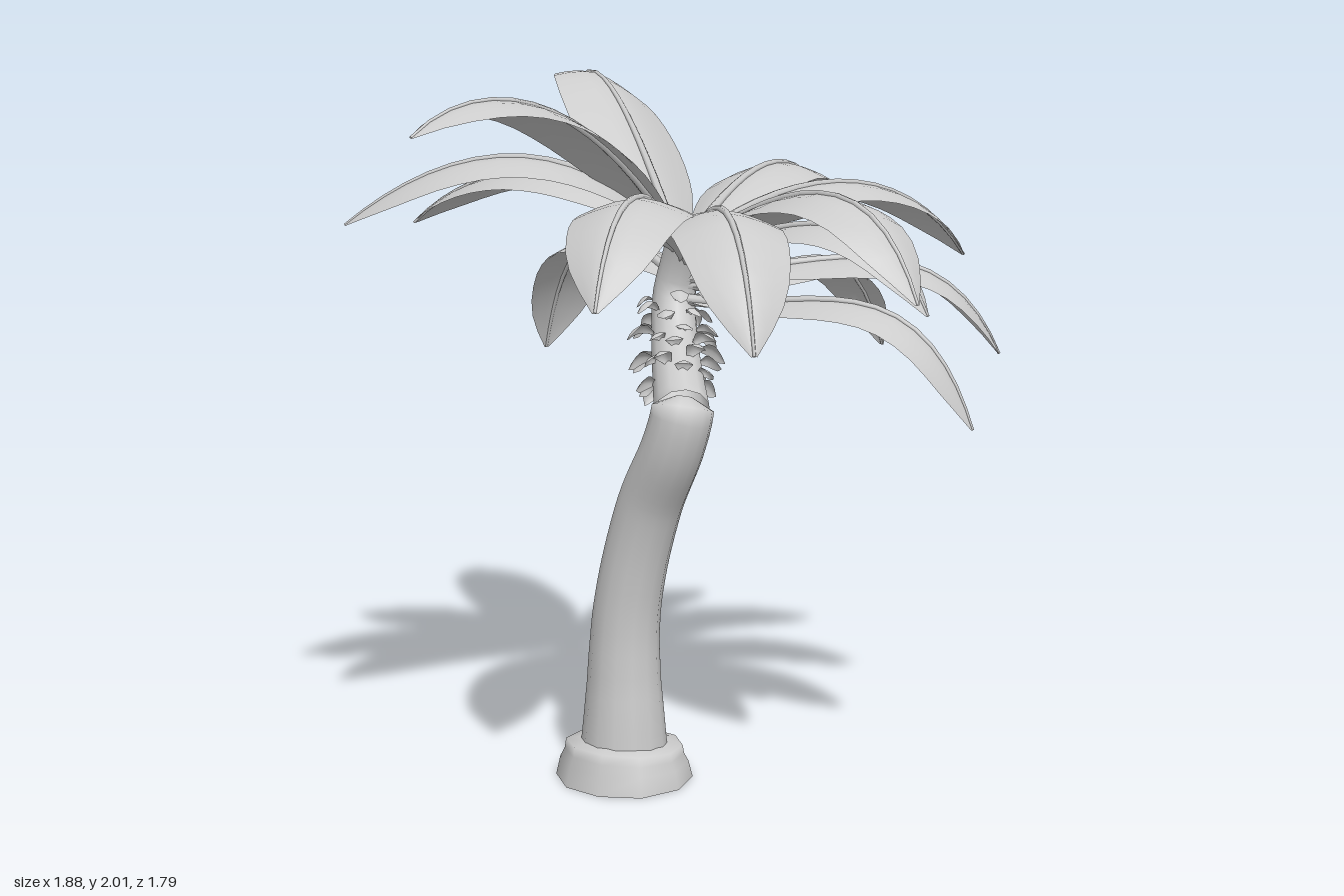
import * as THREE from 'three';
import { mergeVertices } from 'three/addons/utils/BufferGeometryUtils.js';

const V = (x, y, z) => new THREE.Vector3(x, y, z);
const material = new THREE.MeshStandardMaterial({ color: 0xcccccc, side: THREE.DoubleSide });

// Smooth grid surface: rows x cols points from a function, seams welded
function surface(rows, cols, point) {
  const pos = [], idx = [];
  for (let i = 0; i <= rows; i++) {
    for (let j = 0; j <= cols; j++) pos.push(...point(i / rows, j / cols).toArray());
  }
  for (let i = 0; i < rows; i++) {
    for (let j = 0; j < cols; j++) {
      const a = i * (cols + 1) + j, b = a + cols + 1;
      idx.push(a, a + 1, b, a + 1, b + 1, b);
    }
  }
  const g = new THREE.BufferGeometry();
  g.setAttribute('position', new THREE.Float32BufferAttribute(pos, 3));
  g.setIndex(idx);
  const welded = mergeVertices(g, 1e-5);
  welded.computeVertexNormals();
  return welded;
}

// Round tube along a curve with a changing radius
function taperTube(curve, radius, rows, sides) {
  const f = curve.computeFrenetFrames(rows, false);
  return surface(rows, sides, (t, s) => {
    const i = Math.round(t * rows), a = s * Math.PI * 2, r = radius(t);
    return curve.getPointAt(t)
      .addScaledVector(f.normals[i], Math.cos(a) * r)
      .addScaledVector(f.binormals[i], Math.sin(a) * r);
  });
}

// Linear lookup in an evenly spaced list
function sample(list, t) {
  const k = Math.min(t, 0.9999) * (list.length - 1), i = Math.floor(k);
  return THREE.MathUtils.lerp(list[i], list[i + 1], k - i);
}

const OUTLINE = [0.08, 0.3, 0.6, 0.84, 0.97, 1, 0.98, 0.92, 0.8, 0.55, 0.05];

// Arched leaf blade whose sides droop away from the midrib; roll tips it sideways
function blade(curve, side, halfWidth, droop, roll, rows) {
  return surface(rows, 6, (t, s) => {
    const u = s * 2 - 1, w = halfWidth * sample(OUTLINE, t);
    const normal = side.clone().cross(curve.getTangentAt(t)).normalize();
    return curve.getPointAt(t)
      .addScaledVector(side, u * w)
      .addScaledVector(normal, w * (roll * u - droop * Math.pow(Math.abs(u), 1.5)));
  });
}

function add(parent, name, geometry) {
  const m = new THREE.Mesh(geometry, material);
  m.name = name;
  parent.add(m);
  return m;
}

// Fronds: tip x, y, z, root height, inner and outer arch handle heights, half width, roll
const FRONDS = [
  [-0.14, 1.94, -0.89, 1.45, 1.85, 2.13, 0.18, -0.25],
  [-0.25, 1.13, -0.85, 1.4, 1.53, 1.65, 0.14, 0],
  [0.64, 1.52, -0.65, 1.5, 1.78, 1.82, 0.145, 0],
  [0.93, 1.45, -0.25, 1.5, 1.77, 1.72, 0.15, 0],
  [0.76, 1.15, -0.49, 1.4, 1.35, 1.65, 0.13, 0],
  [0.88, 1.2, 0.15, 1.42, 1.45, 1.61, 0.14, 0],
  [0.67, 1.04, 0.47, 1.36, 1.32, 1.54, 0.13, 0],
  [0.48, 1.37, 0.61, 1.46, 1.6, 1.7, 0.13, 0],
  [0.35, 1.43, 0.87, 1.5, 1.67, 1.84, 0.14, 0],
  [-0.07, 1.32, 0.89, 1.46, 1.68, 1.78, 0.15, 0],
  [-0.43, 1.42, 0.76, 1.48, 1.72, 1.78, 0.15, 0],
  [-0.82, 1.83, 0.43, 1.5, 1.99, 1.98, 0.145, 0],
  [-0.94, 1.58, -0.13, 1.5, 1.94, 1.73, 0.16, 0],
  [-0.69, 1.55, -0.63, 1.5, 1.83, 1.71, 0.145, 0],
];

export function createModel() {
  const palm = new THREE.Group();
  palm.name = 'palmTree';

  // Leaning trunk with a blunt top
  const trunk = new THREE.CatmullRomCurve3([
    V(-0.205, 0.03, 0.055), V(-0.205, 0.15, 0.055), V(-0.195, 0.5, 0.06), V(-0.145, 0.8, 0.12),
    V(-0.1, 0.98, 0.21), V(-0.08, 1.07, 0.232), V(-0.07, 1.125, 0.225),
  ]);
  const trunkRadii = [0.13, 0.118, 0.106, 0.099, 0.095, 0.093, 0.092, 0.09, 0.087, 0.085];
  add(palm, 'trunk', taperTube(trunk, t => (t === 1 ? 0.02 : sample(trunkRadii, t)), 36, 14));

  // Flared, uneven collar around the foot, open underneath
  const profile = [[0.197, 0], [0.185, 0.05], [0.172, 0.075], [0.168, 0.1], [0.115, 0.108]];
  const collar = surface(profile.length - 1, 10, (t, s) => {
    const a = -s * Math.PI * 2, [r, y] = profile[Math.round(t * (profile.length - 1))];
    const k = r * (1 + 0.02 * Math.sin(3 * a + 1));
    return V(Math.sin(a) * k, y * (1 - 0.12 * Math.sin(a - 0.6)), Math.cos(a) * k);
  });
  add(palm, 'footCollar', collar).position.set(-0.2, 0, 0.05);

  // Crown core rising from the trunk, with a flat cap
  const core = new THREE.CatmullRomCurve3([
    V(-0.075, 1.08, 0.22), V(-0.055, 1.15, 0.1), V(-0.035, 1.25, -0.02),
    V(-0.02, 1.37, -0.085), V(-0.005, 1.46, -0.07), V(0.005, 1.54, -0.035),
  ]);
  add(palm, 'crownCore', taperTube(core, t => 0.078 - 0.023 * t, 18, 12));
  const cap = add(palm, 'crownCap', new THREE.CylinderGeometry(0.055, 0.055, 0.03, 12));
  cap.position.copy(core.getPointAt(1));
  cap.quaternion.setFromUnitVectors(V(0, 1, 0), core.getTangentAt(1));

  // Fronds: a blade and a tapering midrib each
  const fronds = new THREE.Group();
  fronds.name = 'fronds';
  palm.add(fronds);
  for (const [x, y, z, rootY, innerY, outerY, halfWidth, roll] of FRONDS) {
    const root = V(0, rootY, -0.04), tip = V(x, y, z);
    const curve = new THREE.CubicBezierCurve3(root,
      root.clone().lerp(tip, 0.4).setY(innerY), root.clone().lerp(tip, 0.8).setY(outerY), tip);
    const side = V(root.z - z, 0, x).normalize();
    const frond = new THREE.Group();
    frond.name = 'frond';
    fronds.add(frond);
    add(frond, 'frondBlade', blade(curve, side, halfWidth, 0.32, roll, 16));
    add(frond, 'frondMidrib', taperTube(curve, t => 0.017 - 0.013 * t, 16, 6));
  }

  // Hooked stubs of old leaves spiralling round the core
  const stubs = new THREE.Group();
  stubs.name = 'leafStubs';
  palm.add(stubs);
  const count = 38;
  for (let i = 0; i < count; i++) {
    const t = 0.15 + 0.55 * i / count, angle = i * 2.4;
    const axis = core.getTangentAt(t);
    const out = V(1, 0, 0).cross(axis).normalize().applyAxisAngle(axis, angle);
    const side = out.clone().cross(axis).normalize();
    const root = core.getPointAt(t).addScaledVector(out, 0.058);
    const length = 0.07 + 0.02 * Math.sin(i * 1.7);
    const handle = root.clone().addScaledVector(out, length * 0.6).addScaledVector(axis, length * 0.6);
    const tip = root.clone().addScaledVector(out, length).addScaledVector(axis, -length * 0.2);
    tip.y -= 0.015;
    add(stubs, 'leafStub', blade(new THREE.QuadraticBezierCurve3(root, handle, tip), side, 0.026, 0.4, 0, 6));
  }
  return palm;
}
